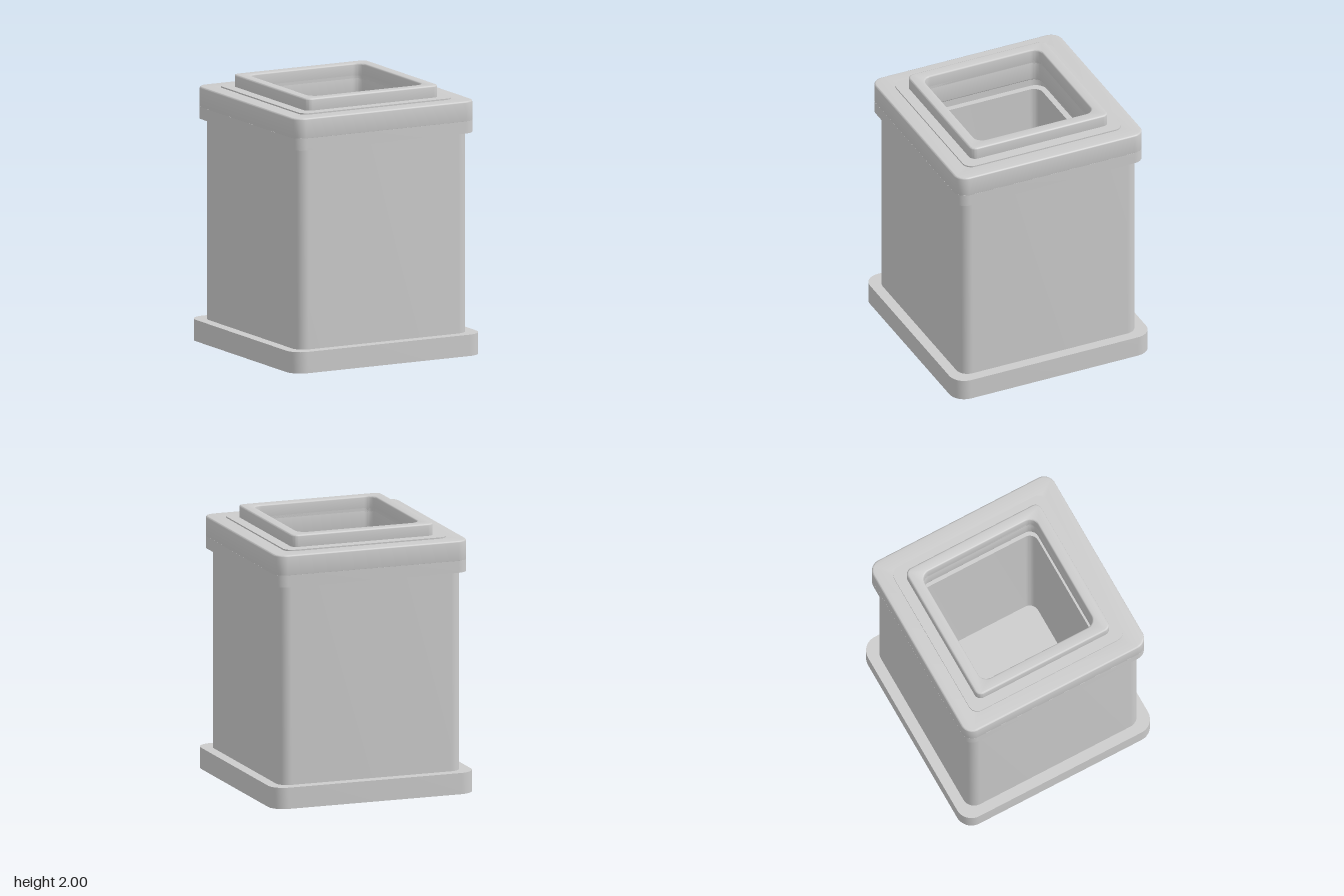
import * as THREE from 'three';
import { toCreasedNormals } from 'three/addons/utils/BufferGeometryUtils.js';

// Trace a rounded square of half-width h and corner radius r
function roundedSquare(path, h, r) {
  const k = h - r;
  path.moveTo(k, -h);
  path.absarc(k, -k, r, -Math.PI / 2, 0, false);
  path.absarc(k, k, r, 0, Math.PI / 2, false);
  path.absarc(-k, k, r, Math.PI / 2, Math.PI, false);
  path.absarc(-k, -k, r, Math.PI, Math.PI * 1.5, false);
  path.closePath();
  return path;
}

export function createModel() {
  const model = new THREE.Group();
  const material = new THREE.MeshStandardMaterial({ color: 0xcccccc });

  // Upright square slab or ring from y0 to y1, with an optional rounded edge
  function tier(name, y0, y1, half, radius, hole = 0, holeRadius = 0.07, bevel = 0) {
    const shape = roundedSquare(new THREE.Shape(), half, radius);
    if (hole) shape.holes.push(roundedSquare(new THREE.Path(), hole, holeRadius));
    const geometry = new THREE.ExtrudeGeometry(shape, {
      depth: y1 - y0 - 2 * bevel,
      curveSegments: 6,
      bevelEnabled: bevel > 0,
      bevelThickness: bevel,
      bevelSize: bevel,
      bevelOffset: -bevel,
      bevelSegments: 3,
    });
    geometry.translate(0, 0, bevel);
    geometry.rotateX(-Math.PI / 2);
    geometry.translate(0, y0, 0);
    const mesh = new THREE.Mesh(toCreasedNormals(geometry, 0.62), material);
    mesh.name = name;
    model.add(mesh);
  }

  // Foot plate, which also closes the hollow body
  tier('base', 0, 0.16, 0.8, 0.12);
  // Hollow square body
  tier('body', 0.16, 1.66, 0.72, 0.09, 0.475);
  // Overhanging lid: lower skirt with a recess inside, then the thick top
  tier('lidSkirt', 1.66, 1.75, 0.76, 0.09, 0.52, 0.09);
  tier('lid', 1.74, 1.9, 0.76, 0.09, 0.475, 0.07, 0.012);
  // Thin step and raised collar around the opening
  tier('step', 1.88, 1.91, 0.64, 0.07, 0.475);
  tier('collar', 1.88, 2, 0.56, 0.05, 0.475, 0.07, 0.012);

  return model;
}
